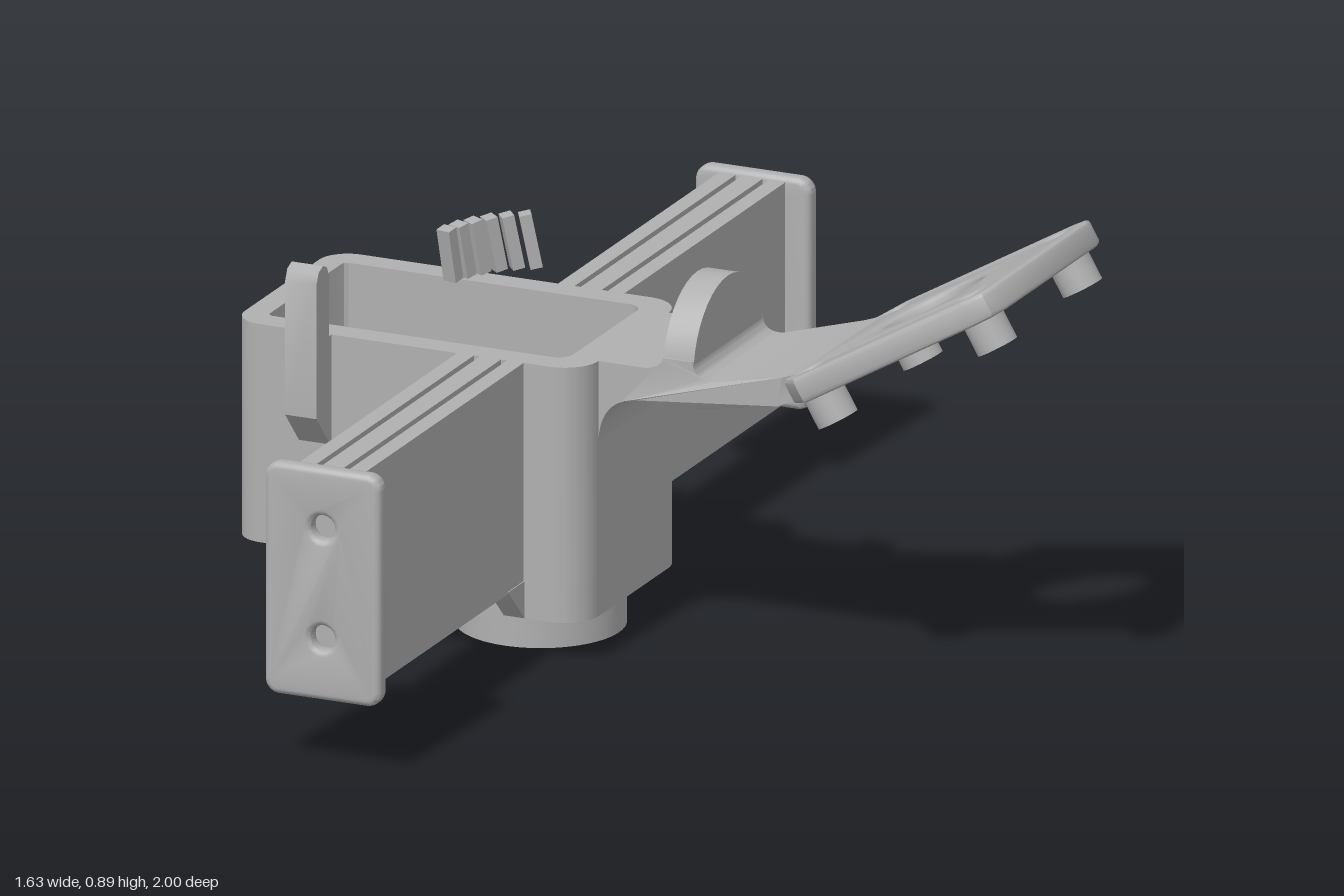
import * as THREE from 'three';
import { toCreasedNormals } from 'three/addons/utils/BufferGeometryUtils.js';

const grey = new THREE.MeshStandardMaterial({ color: 0xb0b0b0 });
grey.name = 'plainGrey';

function add(parent, name, geometry) {
  const mesh = new THREE.Mesh(toCreasedNormals(geometry, 0.55), grey);
  mesh.name = name;
  parent.add(mesh);
  return mesh;
}

const poly = (pts) => new THREE.Shape(pts.map(([x, y]) => new THREE.Vector2(x, y)));
const circle = (x, y, r) => new THREE.Path().absarc(x, y, r, 0, Math.PI * 2, true);

// Rectangle with separate corner radii for its left and right ends.
function roundRect(x0, x1, y0, y1, rl, rr = rl) {
  const s = new THREE.Shape();
  s.absarc(x1 - rr, y0 + rr, rr, -Math.PI / 2, 0);
  s.absarc(x1 - rr, y1 - rr, rr, 0, Math.PI / 2);
  s.absarc(x0 + rl, y1 - rl, rl, Math.PI / 2, Math.PI);
  s.absarc(x0 + rl, y0 + rl, rl, Math.PI, Math.PI * 1.5);
  return s;
}

// Extrude in z, between z0 and z1, with an optional bevel kept inside that range.
function extrude(shape, z0, z1, bevel = 0) {
  return new THREE.ExtrudeGeometry(shape, {
    depth: z1 - z0 - 2 * bevel, curveSegments: 10, bevelEnabled: bevel > 0,
    bevelThickness: bevel, bevelSize: bevel, bevelOffset: -bevel, bevelSegments: 3,
  }).translate(0, 0, z0 + bevel);
}
// A plan shape (x, -z) raised from y0 to y1.
const raise = (shape, y0, y1, bevel) => extrude(shape, y0, y1, bevel).rotateX(-Math.PI / 2);
// A side shape (z, y) widened from x0 to x1.
const widen = (shape, x0, x1) => extrude(shape, -x1, -x0).rotateY(-Math.PI / 2);

const CX = -0.275; // axis shared by the rails and the round base

function buildHousing(root) {
  const housing = new THREE.Group();
  housing.name = 'housing';
  root.add(housing);

  // Upper walls, open above and below
  const walls = roundRect(-0.82, -0.08, -0.23, 0.23, 0.06, 0.07);
  walls.holes.push(roundRect(-0.77, -0.14, -0.175, 0.175, 0.012, 0.03));
  add(housing, 'housingWalls', raise(walls, 0.16, 0.6));

  // Floor with screw holes
  const screws = [[CX, 0]];
  for (const dx of [-0.07, 0.07]) for (const dz of [-0.07, 0.07]) screws.push([CX + dx, dz]);
  const floor = roundRect(-0.455, -0.08, -0.23, 0.23, 0.001, 0.07);
  for (const [x, z] of screws) floor.holes.push(circle(x, z, 0.043));
  add(housing, 'housingFloor', raise(floor, 0.085, 0.16));

  // Sloped steps from the walls down to the floor
  for (const z of [-0.23, 0.175]) {
    add(housing, 'wallSlope',
      extrude(poly([[-0.54, 0.16], [-0.455, 0.085], [-0.455, 0.16]]), z, z + 0.055));
  }

  // Round base with a recessed underside
  const disc = new THREE.Shape().absarc(CX, 0, 0.165, 0, Math.PI * 2);
  for (const [x, z] of screws) disc.holes.push(circle(x, z, 0.025));
  const rim = new THREE.Shape().absarc(CX, 0, 0.165, 0, Math.PI * 2);
  rim.holes.push(circle(CX, 0, 0.14));
  for (const [name, shape, y0, y1] of [['baseDisc', disc, 0.02, 0.085], ['baseRim', rim, 0, 0.02]]) {
    shape.curves[0].aEndAngle = Math.PI * 2;
    const g = new THREE.ExtrudeGeometry(shape, { depth: y1 - y0, bevelEnabled: false, curveSegments: 32 });
    add(housing, name, g.rotateX(-Math.PI / 2).translate(0, y0, 0));
  }
}

// Rail running along +z from the housing, with grooves and an end cap
function buildRail(root, name, turn) {
  const rail = new THREE.Group();
  rail.name = name;
  rail.position.x = CX;
  rail.rotation.y = turn;
  root.add(rail);

  const top = 0.6, bottom = 0.155, d = 0.025;
  const edge = [-0.07, -0.035, -0.022, 0.022, 0.035, 0.07];
  const notch = (y, s) => edge.flatMap((x, i) =>
    i === 0 || i === 5 ? [[x, y]]
      : i % 2 ? [[x, y], [x, y - s * d]] : [[x, y - s * d], [x, y]]);
  add(rail, 'railBar', extrude(poly([...notch(bottom, -1), ...notch(top, 1).reverse()]), 0.2, 0.97));

  const cap = roundRect(-0.122, 0.122, 0.143, 0.61, 0.03);
  for (const y of [0.268, 0.49]) cap.holes.push(circle(0, y, 0.025));
  add(rail, 'endCap', extrude(cap, 0.963, 1, 0.012));

  // Braces below the rail
  for (const x of [-0.072, 0.028]) {
    add(rail, 'railBrace', widen(poly([[0.22, 0.085], [0.23, 0.085], [0.305, 0.16], [0.22, 0.16]]), x, x + 0.044));
  }
}

function buildArm(root) {
  const arm = new THREE.Group();
  arm.name = 'arm';
  root.add(arm);

  // Bent neck, widening toward the mounting plate
  const s = new THREE.Shape();
  s.moveTo(-0.09, 0.6);
  s.lineTo(-0.09, 0.44);
  s.lineTo(-0.08, 0.44);
  s.quadraticCurveTo(-0.075, 0.525, 0, 0.532);
  s.lineTo(0.13, 0.532);
  s.lineTo(0.31, 0.572);
  s.lineTo(0.39, 0.61);
  s.lineTo(0.37, 0.65);
  s.lineTo(0.32, 0.632);
  s.lineTo(0.16, 0.592);
  s.quadraticCurveTo(0.12, 0.59, 0.118, 0.625);
  s.lineTo(0.056, 0.625);
  s.quadraticCurveTo(0.05, 0.6, 0.01, 0.6);
  const neck = extrude(s, -0.16, 0.16);
  const p = neck.attributes.position;
  for (let i = 0; i < p.count; i++) {
    const t = THREE.MathUtils.clamp((p.getX(i) - 0.13) / 0.2, 0, 1);
    p.setZ(i, p.getZ(i) * (1 + 0.2 * t));
  }
  add(arm, 'armNeck', neck);

  // Upright round tab across the neck
  const tab = poly([[-0.158, 0.57], [0.158, 0.57]]);
  tab.absarc(0, 0.594, 0.158, 0, Math.PI);
  add(arm, 'armTab', widen(tab, 0.055, 0.119));

  // Tilted mounting plate
  const mount = new THREE.Group();
  mount.name = 'mountingPlate';
  mount.position.set(0.5525, 0.76, 0);
  mount.rotation.z = Math.PI / 6;
  arm.add(mount);
  const plate = poly([[-0.26, -0.2], [-0.205, -0.262], [0.205, -0.262], [0.245, -0.245],
    [0.262, -0.205], [0.262, 0.205], [0.245, 0.245], [0.205, 0.262], [-0.205, 0.262], [-0.26, 0.2]]);
  plate.holes.push(circle(0, 0, 0.108));
  const corners = [-1, 1].flatMap((i) => [-1, 1].map((j) => [i * 0.194, j * 0.194]));
  for (const [x, z] of corners) plate.holes.push(circle(x, z, 0.026));
  add(mount, 'plate', raise(plate, -0.052, 0, 0.008));
  for (const [x, z] of corners) {
    const boss = new THREE.Shape().absarc(x, z, 0.042, 0, Math.PI * 2);
    boss.holes.push(circle(x, z, 0.019));
    add(mount, 'standoff', raise(boss, -0.112, -0.04));
  }
}

function buildClips(root) {
  // Upright post on the front wall, with a sloped foot
  const post = poly([[0.22, 0.38], [0.235, 0.38], [0.298, 0.45], [0.298, 0.72],
    [0.288, 0.742], [0.268, 0.75], [0.25, 0.742], [0.24, 0.72], [0.24, 0.6], [0.22, 0.6]]);
  add(root, 'frontPost', widen(post, -0.676, -0.61));

  // Hook on the rear wall: flared bracket and a short peg below it
  add(root, 'rearBracket', raise(poly([[-0.54, 0.225], [-0.38, 0.225], [-0.425, 0.245],
    [-0.432, 0.287], [-0.5, 0.287], [-0.507, 0.245]]), 0.15, 0.2));
  add(root, 'rearPeg', widen(poly([[-0.287, 0.04], [-0.222, 0.04], [-0.222, 0.19], [-0.287, 0.19]]), -0.498, -0.434));
}

// Slanted fins spaced on an arc about the base axis
function buildFins(root) {
  const fins = new THREE.Group();
  fins.name = 'curvedFins';
  root.add(fins);
  for (let i = 0; i < 6; i++) {
    const a = THREE.MathUtils.degToRad(167 - i * 9.4);
    const fin = add(fins, 'fin', new THREE.BoxGeometry(0.03, 0.11, 0.024));
    fin.position.set(CX + 0.22 * Math.cos(a), 0.695, -0.22 * Math.sin(a));
    fin.rotation.set(-0.2, a, 0, 'YXZ');
  }
}

export function createModel() {
  const root = new THREE.Group();
  root.name = 'bracketAssembly';
  buildHousing(root);
  buildRail(root, 'frontRail', 0);
  buildRail(root, 'rearRail', Math.PI);
  buildArm(root);
  buildClips(root);
  buildFins(root);
  return root;
}
